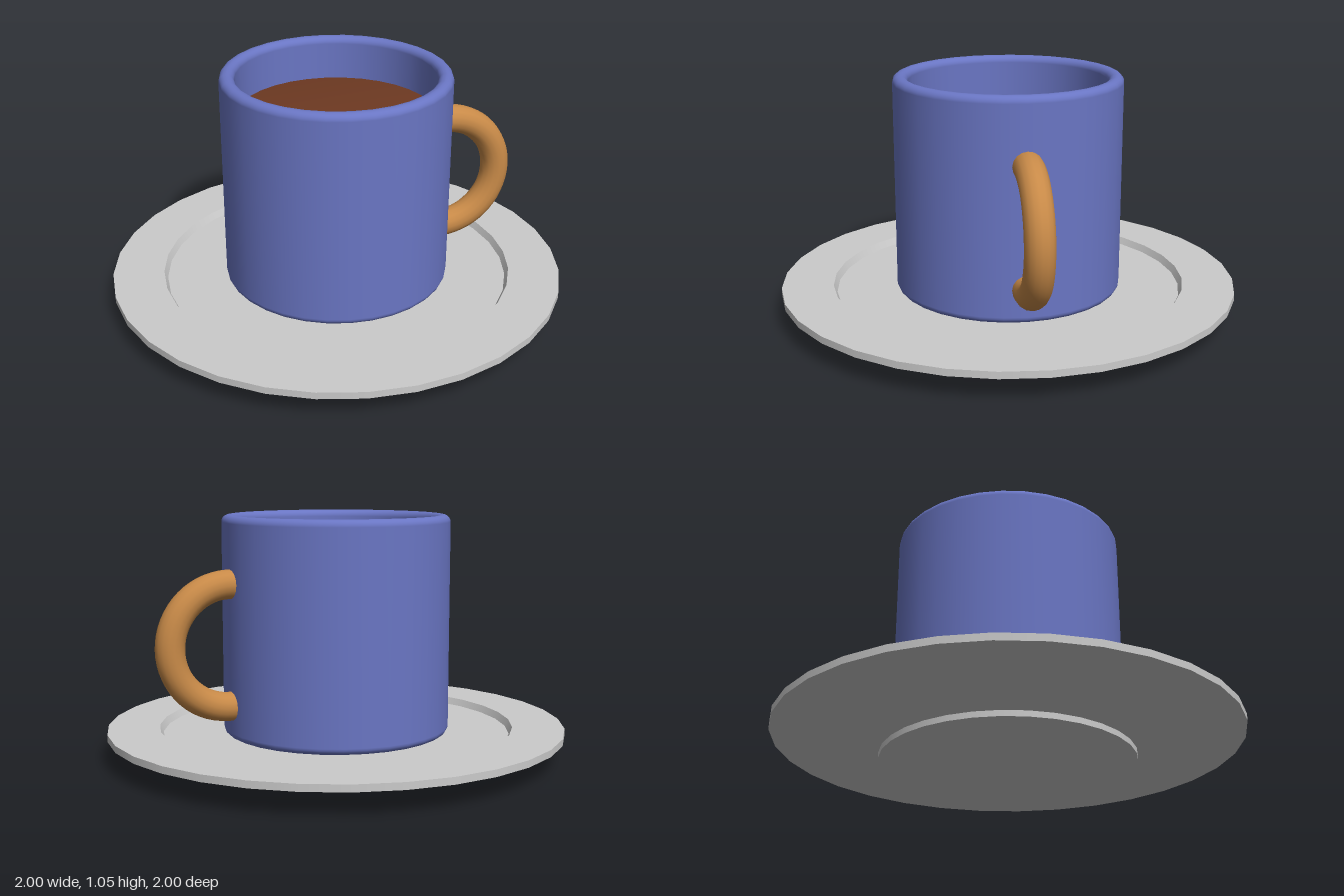
import * as THREE from 'three';

const SIDES = 32;

function part(name, geometry, color) {
  const mesh = new THREE.Mesh(geometry, new THREE.MeshStandardMaterial({ color }));
  mesh.name = name;
  return mesh;
}

// Revolves [radius, height] pairs; a repeated pair keeps that edge sharp.
function turned(profile) {
  return new THREE.LatheGeometry(profile.map(([r, y]) => new THREE.Vector2(r, y)), SIDES);
}

// Points of a rounded corner, angles in degrees.
function corner(r, y, radius, from, to, steps = 5) {
  return Array.from({ length: steps + 1 }, (_, i) => {
    const a = THREE.MathUtils.degToRad(from + ((to - from) * i) / steps);
    return [r + radius * Math.cos(a), y + radius * Math.sin(a)];
  });
}

export function createModel() {
  const model = new THREE.Group();
  model.name = 'cupAndSaucer';

  // Saucer: foot, sloping underside, flat rim and shallow well
  model.add(part('saucer', turned([
    [0, 0], [0.545, 0], [0.545, 0], [0.545, 0.025], [0.545, 0.025],
    [1, 0.1], [1, 0.1], [1, 0.13], [1, 0.13],
    [0.775, 0.13], [0.775, 0.13], [0.76, 0.1], [0.76, 0.1], [0, 0.1],
  ]), 0xcccccc));

  // Mug: closed wall with rounded foot and lip, hollow inside
  model.add(part('mug', turned([
    [0, 0.1], [0.465, 0.1],
    ...corner(0.465, 0.13, 0.03, -90, 0),
    ...corner(0.465, 1.02, 0.03, 0, 90),
    ...corner(0.46, 1.02, 0.03, 90, 180),
    [0.43, 0.16], [0.43, 0.16], [0, 0.16],
  ]), 0x6a76c4));

  // Drink: shaded softly towards the wall
  model.add(part('drink', turned([[0.431, 0.8], [0.431, 0.857], [0, 0.857]]), 0x6f3a22));

  // Handle: half ring on the mug's left side, ends sunk into the wall
  const sink = 0.08;
  const ring = new THREE.TorusGeometry(0.26, 0.0625, 16, 32, Math.PI + 2 * sink);
  ring.rotateZ(-Math.PI / 2 - sink);
  const handle = part('handle', ring, 0xc88a48);
  handle.position.set(0.5, 0.508, 0);
  model.add(handle);

  return model;
}
